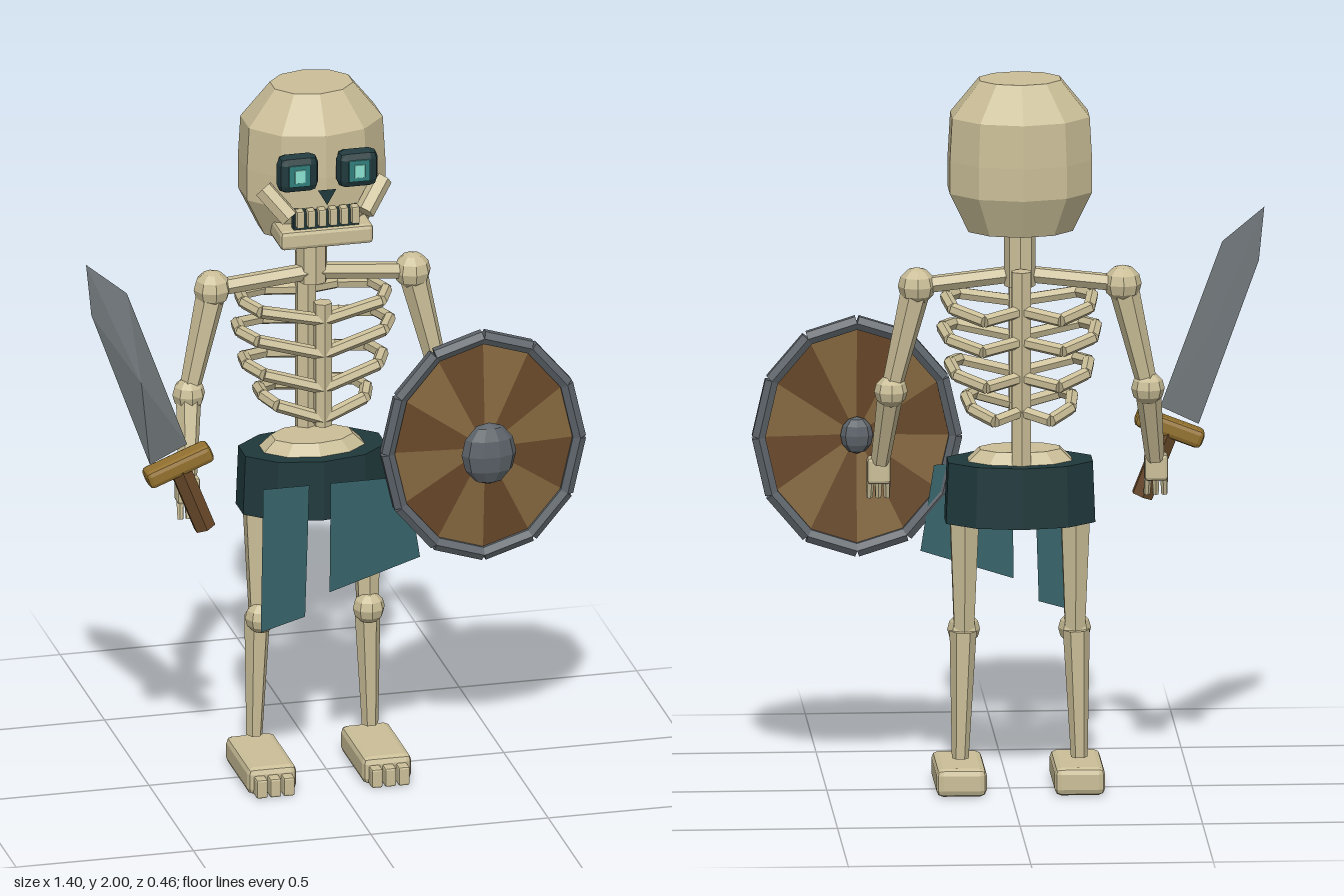
import * as THREE from 'three';
import { RoundedBoxGeometry } from 'three/addons/geometries/RoundedBoxGeometry.js';

const mat = (name, color, side = THREE.FrontSide) =>
  new THREE.MeshStandardMaterial({ name, color, side, flatShading: true });

export function createModel() {
  const M = {
    bone: mat('bone', 0xcbbf98),
    dark: mat('dark teal', 0x20393c),
    cloth: mat('teal cloth', 0x35636a, THREE.DoubleSide),
    iris: mat('eye teal', 0x2f7f7c),
    glow: mat('eye glow', 0x8be3d2),
    steel: mat('blade steel', 0x70777a),
    iron: mat('iron', 0x5c6369),
    gold: mat('brass', 0x94722f),
    wood: mat('light wood', 0x86683f, THREE.DoubleSide),
    darkWood: mat('dark wood', 0x684829, THREE.DoubleSide),
  };
  const model = new THREE.Group();
  model.name = 'skeletonWarrior';
  const CX = -0.025, CZ = -0.062; // body axis
  const V = (a) => new THREE.Vector3(...a);

  const add = (name, geo, m, pos = [0, 0, 0], parent = model) => {
    const mesh = new THREE.Mesh(geo, m);
    mesh.name = name;
    mesh.position.set(...pos);
    parent.add(mesh);
    return mesh;
  };
  const box = (name, size, pos, m = M.bone, bevel = 0.012, parent = model) =>
    add(name, new RoundedBoxGeometry(...size, 1, bevel), m, pos, parent);
  // Tapered bar between two points
  const bar = (name, a, b, ra, rb = ra, m = M.bone, sides = 6, parent = model) => {
    const p = V(a), q = V(b), d = q.clone().sub(p);
    const mesh = add(name, new THREE.CylinderGeometry(rb, ra, d.length(), sides), m,
      p.clone().add(q).multiplyScalar(0.5).toArray(), parent);
    mesh.quaternion.setFromUnitVectors(new THREE.Vector3(0, 1, 0), d.normalize());
    return mesh;
  };
  const joint = (name, pos, r, parent = model) =>
    add(name, new THREE.SphereGeometry(r, 8, 6), M.bone, pos, parent);
  const flat = (name, pts, z, m) =>
    add(name, new THREE.ShapeGeometry(new THREE.Shape(pts.map((p) => new THREE.Vector2(...p)))), m, [0, 0, z]);

  // Skull
  const profile = [[0, 1.58], [0.15, 1.58], [0.205, 1.69], [0.205, 1.78], [0.198, 1.9], [0.116, 2], [0, 2]];
  const skull = add('skull', new THREE.LatheGeometry(profile.map((p) => new THREE.Vector2(...p)), 10),
    M.bone, [CX, 0, -0.067]);
  skull.scale.z = 0.81;
  box('jaw', [0.262, 0.056, 0.14], [CX, 1.609, 0.045]);
  box('mouth', [0.185, 0.06, 0.03], [CX, 1.66, 0.088], M.dark, 0.004);
  for (let i = 0; i < 6; i++)
    box('tooth', [0.022, 0.05, 0.03], [CX + (i - 2.5) * 0.031, 1.672, 0.108], M.bone, 0.004);
  flat('nose', [[CX - 0.026, 1.75], [CX, 1.705], [CX + 0.026, 1.75]], 0.109, M.dark);
  for (const s of [-1, 1]) {
    const x = CX + s * 0.084;
    box('eyeSocket', [0.115, 0.11, 0.055], [x, 1.808, 0.107], M.dark, 0.025);
    box('iris', [0.06, 0.062, 0.008], [x, 1.808, 0.136], M.iris, 0.002);
    box('eyeGlow', [0.03, 0.038, 0.006], [x, 1.808, 0.141], M.glow, 0.002);
    bar('cheekbone', [CX + s * 0.168, 1.75, 0.06], [CX + s * 0.105, 1.675, 0.108], 0.028);
  }

  // Neck, spine and breastbone
  bar('neck', [CX, 1.42, CZ], [CX, 1.6, CZ], 0.043, 0.043, M.bone, 8);
  bar('spine', [CX, 0.93, -0.135], [CX, 1.475, -0.135], 0.03);
  bar('breastbone', [CX, 1.04, 0.058], [CX, 1.4, 0.058], 0.026);

  // Ribs: outer height, height at the breastbone, half width
  const ribs = [[1.385, 1.35, 0.2], [1.3, 1.25, 0.21], [1.2, 1.15, 0.19], [1.105, 1.06, 0.145]];
  for (const s of [-1, 1]) for (const [y, yf, w] of ribs) {
    const path = [[0, y - 0.02, -0.14], [0.52, y - 0.035, -0.2], [0.93, y - 0.015, -0.13],
      [1, y, -0.03], [0.84, y - 0.005, 0.04], [0, yf, 0.065]]
      .map(([u, h, z]) => [CX + s * u * w, h, z]);
    for (let i = 1; i < path.length; i++) bar('rib', path[i - 1], path[i], 0.018);
  }

  // Arms and legs
  for (const s of [-1, 1]) {
    const shoulder = [CX + s * 0.282, 1.422, -0.06];
    const elbow = [CX + s * 0.352, 1.125, -0.045];
    const wrist = [CX + s * 0.376, 0.91, 0.04];
    bar('collarbone', [CX, 1.452, -0.05], shoulder, 0.024);
    joint('shoulder', shoulder, 0.052);
    bar('upperArm', shoulder, elbow, 0.042, 0.028);
    joint('elbow', elbow, 0.046);
    bar('forearm', elbow, wrist, 0.036, 0.026);
    const hand = new THREE.Group();
    hand.name = 'hand';
    hand.position.set(CX + s * 0.38, 0.885, 0.052);
    box('palm', [0.065, 0.075, 0.045], [0, 0, 0], M.bone, 0.01, hand);
    for (let i = -1; i <= 1; i++)
      bar('finger', [i * 0.022, -0.025, 0.005], [i * 0.024, -0.08, 0.018], 0.011, 0.009, M.bone, 6, hand);
    model.add(hand);

    const lx = CX + s * 0.152;
    bar('thigh', [lx, 0.82, CZ], [lx, 0.455, -0.045], 0.047, 0.031);
    joint('knee', [lx, 0.455, -0.03], 0.045);
    bar('shin', [lx + s * 0.003, 0.455, -0.058], [lx + s * 0.011, 0.1, -0.06], 0.037, 0.023);
    const fx = CX + s * 0.162;
    box('foot', [0.138, 0.078, 0.27], [fx, 0.041, 0.012], M.bone, 0.018);
    for (let i = -1; i <= 1; i++)
      box('toe', [0.032, 0.055, 0.06], [fx + i * 0.038, 0.032, 0.15], M.bone, 0.006);
  }

  // Hips, belt and torn cloth
  const ring = (name, rt, rb, y0, y1, m) => {
    add(name, new THREE.CylinderGeometry(rt, rb, y1 - y0, 10), m, [CX, (y0 + y1) / 2, CZ]).scale.z = 0.64;
  };
  ring('pelvis', 0.115, 0.165, 0.92, 0.967, M.bone);
  ring('belt', 0.208, 0.215, 0.765, 0.935, M.dark);
  flat('clothRight', [[-0.205, 0.885], [-0.212, 0.465], [-0.087, 0.5], [-0.075, 0.885]], 0.108, M.cloth);
  flat('clothLeft', [[-0.015, 0.885], [-0.018, 0.565], [0.237, 0.645], [0.2, 0.885]], 0.108, M.cloth);

  // Sword: outline raised to one apex in front, flat behind
  const outline = [[-0.705, 1.595], [-0.69, 1.445], [-0.525, 0.99], [-0.42, 1.04], [-0.59, 1.5]];
  const apex = [-0.558, 1.245];
  const tris = [];
  outline.forEach((a, i) => {
    const b = outline[(i + 1) % outline.length];
    tris.push(...a, 0.11, ...b, 0.11, ...apex, 0.147);
    tris.push(...b, 0.11, ...a, 0.11, ...apex, 0.108);
  });
  const blade = new THREE.BufferGeometry();
  blade.setAttribute('position', new THREE.Float32BufferAttribute(tris, 3));
  blade.computeVertexNormals();
  add('blade', blade, M.steel);
  box('swordGuard', [0.195, 0.052, 0.065], [-0.445, 0.982, 0.108], M.gold, 0.014).rotation.z = 0.37;
  bar('swordGrip', [-0.44, 0.97, 0.108], [-0.37, 0.792, 0.108], 0.032, 0.032, M.darkWood);

  // Shield: twelve planks, jointed rim and boss
  const shield = new THREE.Group();
  shield.name = 'shield';
  shield.position.set(0.41, 0.965, 0.125);
  model.add(shield);
  const RX = 0.27, RY = 0.318, step = Math.PI / 6;
  const rimPoint = (i) => [RX * Math.sin(i * step), RY * Math.cos(i * step), 0];
  for (let i = 0; i < 12; i++) {
    const plank = new THREE.ConeGeometry(1, 0.025, 1, 1, true, i * step, step);
    plank.rotateX(Math.PI / 2).scale(RX, RY, 1);
    add('shieldPlank', plank, i % 2 ? M.wood : M.darkWood, [0, 0, 0.0125], shield);
    bar('shieldRim', rimPoint(i), rimPoint(i + 1), 0.021, 0.021, M.iron, 6, shield);
  }
  const boss = add('shieldBoss', new THREE.SphereGeometry(1, 10, 6), M.iron, [0, 0, 0.067], shield);
  boss.scale.set(0.077, 0.09, 0.041);
  const rivet = add('shieldRivet', new THREE.SphereGeometry(1, 8, 6), M.iron, [0, 0, 0.01], shield);
  rivet.scale.set(0.045, 0.052, 0.025);

  return model;
}
